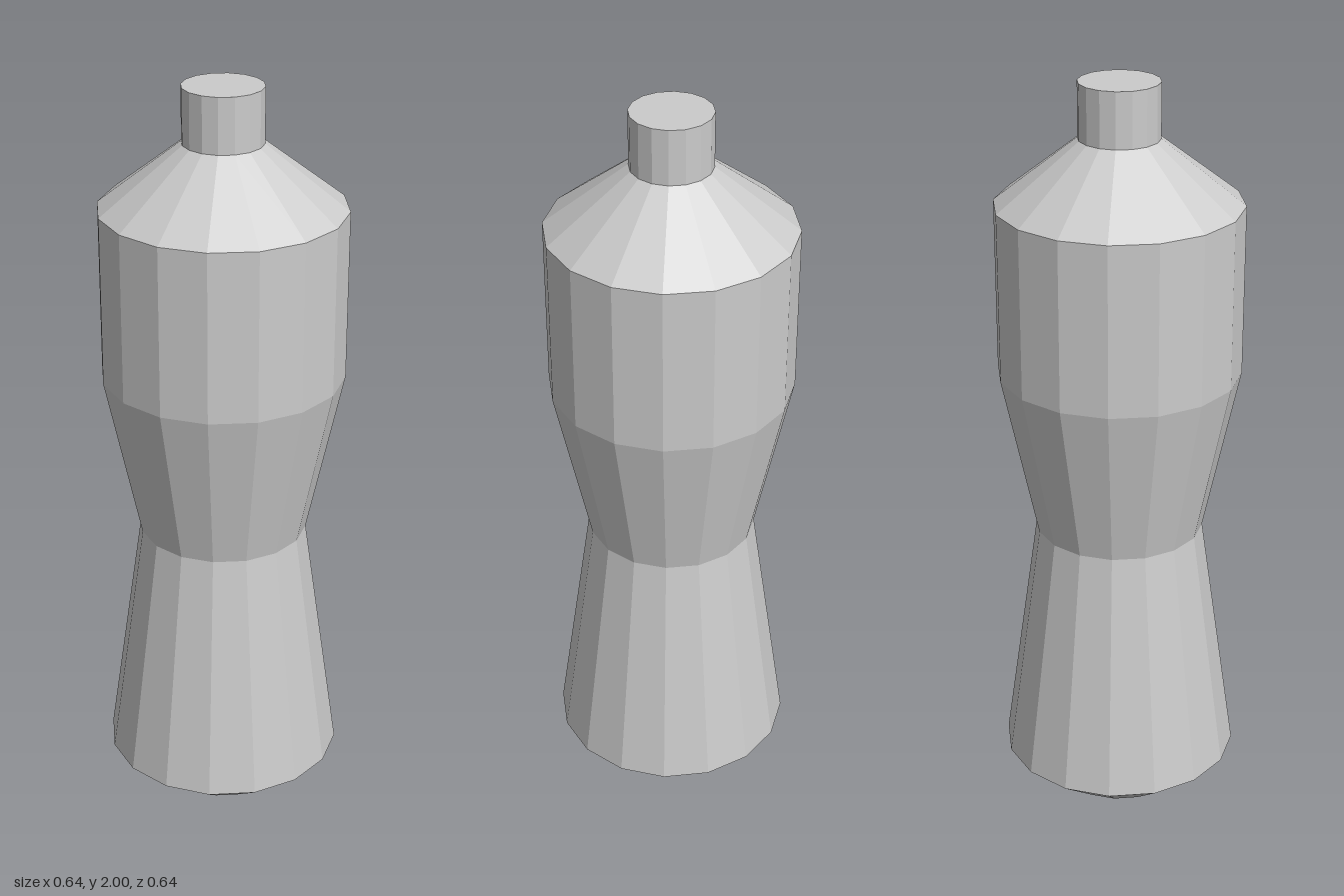
import * as THREE from 'three';

const SIDES = 16;

export function createModel() {
  const group = new THREE.Group();
  group.name = 'bottle';
  const material = new THREE.MeshStandardMaterial({ color: 0xcccccc, flatShading: true });

  // Revolves a [radius, height] profile, listed from bottom to top
  const addLathe = (name, profile) => {
    const points = profile.map(([r, y]) => new THREE.Vector2(r, y));
    const mesh = new THREE.Mesh(new THREE.LatheGeometry(points, SIDES), material);
    mesh.name = name;
    group.add(mesh);
  };

  // Closed base, bevelled foot, pinched waist, straight chest and sloped shoulder
  addLathe('body', [
    [0, 0],
    [0.166, 0],
    [0.318, 0.118],
    [0.223, 0.795],
    [0.318, 1.242],
    [0.318, 1.69],
    [0.104, 1.857],
  ]);

  // Straight neck with a flat top
  addLathe('neck', [
    [0.104, 1.857],
    [0.104, 2],
    [0, 2],
  ]);

  return group;
}
